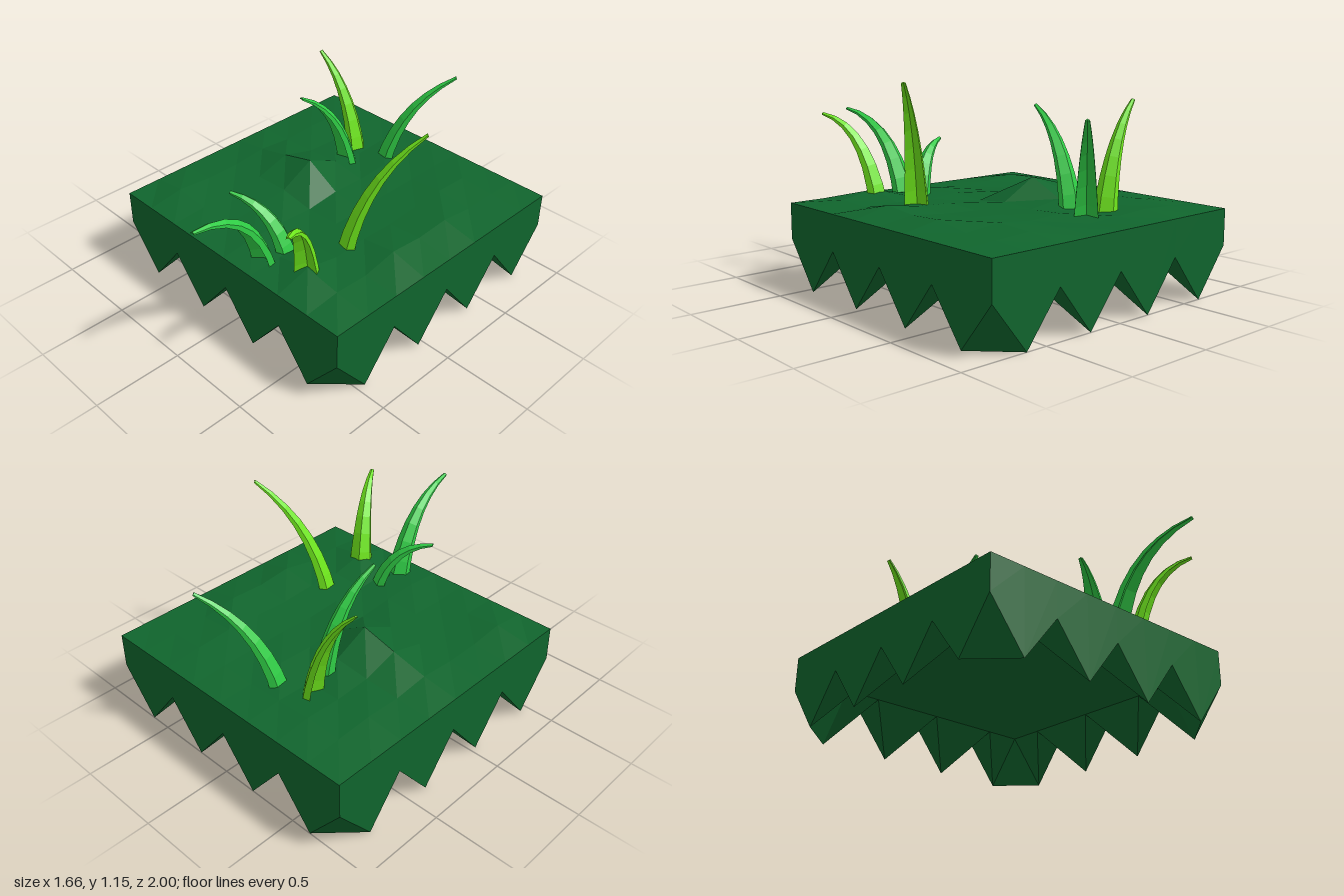
import * as THREE from 'three';

const material = (color) => new THREE.MeshStandardMaterial({ color, flatShading: true, side: THREE.DoubleSide });

// Collects quads (corners anticlockwise from outside) into a flat-shaded mesh
function quadMesh(name, mat, build) {
  const pos = [];
  build((a, b, c, d) => {
    for (const p of [a, b, c, a, c, d]) pos.push(p.x, p.y, p.z);
  });
  const geo = new THREE.BufferGeometry();
  geo.setAttribute('position', new THREE.Float32BufferAttribute(pos, 3));
  geo.computeVertexNormals();
  const mesh = new THREE.Mesh(geo, mat);
  mesh.name = name;
  return mesh;
}

// Turf block: an 8 x 8 grid with a bumpy top and a fringe of teeth below
const N = 8, CELL = 0.207, RIM = 0.46, BASE = 0.26;
const BUMPS = [
  [1, 2, 1, 0, 1, 2, 1],
  [2, 1, 0, 2, 1, 3, 1],
  [1, 2, 4, 1, 1, 2, 4],
  [3, 8, 13.5, 2, 0, 1, 3],
  [1, 2, 3, 0, 1, 2, 5],
  [1, 0, 1, 1.5, 0, 1, 1],
  [3, 1, 0, 2, 1, 5.5, 2],
];

function turf() {
  const at = (i, k, y) => new THREE.Vector3((i - N / 2) * CELL, y, -1 + k * CELL);
  const isEdge = (i, k) => i === 0 || k === 0 || i === N || k === N;
  const top = (i, k) => at(i, k, isEdge(i, k) ? RIM : RIM + BUMPS[k - 1][i - 1] / 100);
  const isTip = (i, k) => isEdge(i, k) && (i + k) % 2 === 1;
  const low = (i, k) => at(i, k, isTip(i, k) ? 0 : BASE);

  return quadMesh('turfBlock', material(0x10652d), (quad) => {
    for (let i = 0; i < N; i++) {
      for (let k = 0; k < N; k++) {
        quad(top(i, k), top(i, k + 1), top(i + 1, k + 1), top(i + 1, k));
        // Underside cells fold along the diagonal through a tooth tip
        const c = [low(i, k), low(i + 1, k), low(i + 1, k + 1), low(i, k + 1)];
        const s = c[1].y === 0 || c[3].y === 0 ? 1 : 0;
        quad(c[s], c[s + 1], c[(s + 2) % 4], c[(s + 3) % 4]);
      }
      // Four side walls
      const wall = (a, b) => quad(low(...a), low(...b), top(...b), top(...a));
      wall([i, N], [i + 1, N]);
      wall([i + 1, 0], [i, 0]);
      wall([N, i + 1], [N, i]);
      wall([0, i], [0, i + 1]);
    }
  });
}

// Grass blade: a folded (chevron) section tapering along a drooping curve
const SECTION = [[-0.065, -0.045], [0, 0], [0.065, -0.045], [0.065, 0], [0, 0.04], [-0.065, 0]];
const STEPS = 7;

function blade({ base: [bx, bz], tip: [tx, ty, tz], bend, color }) {
  const y0 = 0.42;
  const lean = new THREE.Vector3(tx - bx, 0, tz - bz).normalize();
  const curve = new THREE.QuadraticBezierCurve3(
    new THREE.Vector3(bx, y0, bz),
    new THREE.Vector3(bx + (tx - bx) * 0.22, y0 + (ty - y0) * bend, bz + (tz - bz) * 0.22),
    new THREE.Vector3(tx, ty, tz),
  );
  const rings = [];
  for (let i = 0; i <= STEPS; i++) {
    const t = i / STEPS, size = 1 - 0.83 * t;
    const p = curve.getPoint(t), tan = curve.getTangent(t);
    const out = lean.clone().multiplyScalar(-tan.y);
    out.y = tan.dot(lean);
    const side = out.clone().cross(tan);
    rings.push(SECTION.map(([u, v]) =>
      p.clone().addScaledVector(side, u * size).addScaledVector(out, v * size)));
  }
  return quadMesh('grassBlade', material(color), (quad) => {
    for (let i = 0; i < STEPS; i++) {
      for (let j = 0; j < 6; j++) {
        const n = (j + 1) % 6;
        quad(rings[i][j], rings[i][n], rings[i + 1][n], rings[i + 1][j]);
      }
    }
    // Tip and root caps
    const e = rings[STEPS], r = rings[0];
    quad(e[0], e[1], e[4], e[5]);
    quad(e[1], e[2], e[3], e[4]);
    quad(r[5], r[4], r[1], r[0]);
    quad(r[4], r[3], r[2], r[1]);
  });
}

const LIME = 0x6fe81c, GREEN = 0x2fcc45;
const BLADES = [
  { base: [0.36, 0.13], tip: [0.645, 1.145, -0.145], bend: 0.66, color: LIME },
  { base: [-0.26, -0.64], tip: [-0.54, 1.03, -0.59], bend: 0.7, color: LIME },
  { base: [0.39, 0.42], tip: [0.57, 0.93, 0.72], bend: 0.9, color: LIME },
  { base: [-0.1, -0.675], tip: [0.195, 0.995, -0.945], bend: 0.7, color: GREEN },
  { base: [-0.195, -0.5], tip: [-0.25, 0.99, -0.15], bend: 0.75, color: GREEN },
  { base: [0.19, 0.36], tip: [-0.095, 0.76, 0.51], bend: 0.9, color: GREEN },
  { base: [0.16, 0.49], tip: [0.225, 0.92, 0.997], bend: 0.92, color: GREEN },
];

export function createModel() {
  const model = new THREE.Group();
  model.name = 'grassTile';
  const grass = new THREE.Group();
  grass.name = 'grass';
  for (const b of BLADES) grass.add(blade(b));
  model.add(turf(), grass);
  return model;
}
